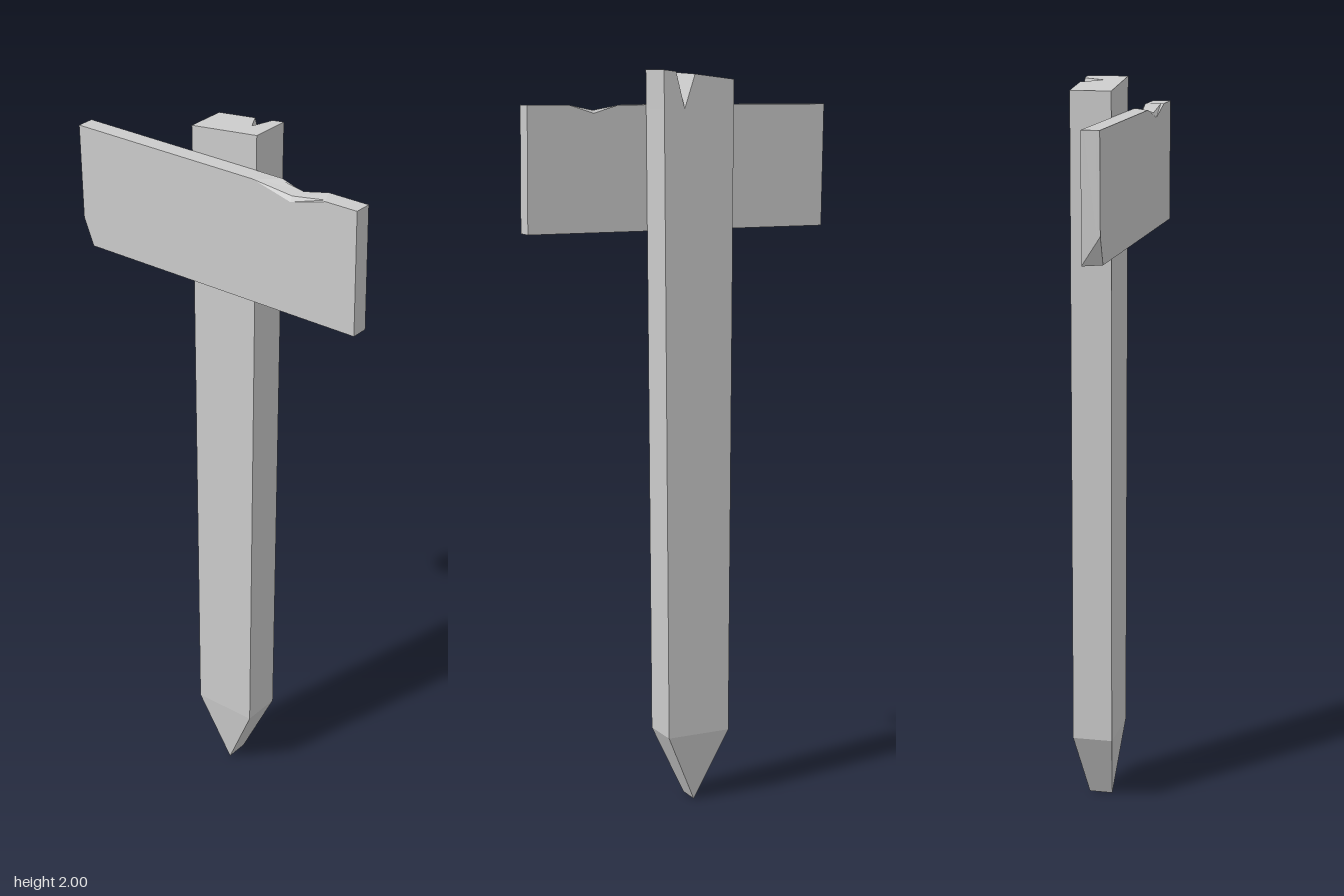
import * as THREE from 'three';

const material = new THREE.MeshStandardMaterial({ color: 0xcccccc, flatShading: true });

// Skins a stack of matching counter-clockwise rings and closes both ends
function loft(name, rings, flatten) {
  const pos = [];
  const tri = (a, b, c) => {
    if (new THREE.Triangle(a, b, c).getArea() > 1e-7) pos.push(...a, ...b, ...c);
  };
  for (let r = 0; r + 1 < rings.length; r++) {
    const lo = rings[r], hi = rings[r + 1];
    lo.forEach((p, i) => {
      const j = (i + 1) % lo.length;
      tri(p, lo[j], hi[j]);
      tri(p, hi[j], hi[i]);
    });
  }
  const cap = (ring, flip) => {
    for (const [a, b, c] of THREE.ShapeUtils.triangulateShape(ring.map(flatten), [])) {
      if (flip) tri(ring[a], ring[c], ring[b]);
      else tri(ring[a], ring[b], ring[c]);
    }
  };
  cap(rings[0], true);
  cap(rings[rings.length - 1], false);
  const geometry = new THREE.BufferGeometry();
  geometry.setAttribute('position', new THREE.Float32BufferAttribute(pos, 3));
  geometry.computeVertexNormals();
  const mesh = new THREE.Mesh(geometry, material);
  mesh.name = name;
  return mesh;
}

// Post section: four corners plus the three points of the split in the back
function postRing(height, left, right, front, back, split) {
  const [x0, xm, x1, zm] = split;
  return [[left, front], [right, front], [right, back], [x1, back], [xm, zm], [x0, back], [left, back]]
    .map(([x, z]) => new THREE.Vector3(x, height(x), z));
}

// Board outline at one depth: dip in the top edge, chip at the lower right-hand corner
function boardRing(z, dip, chip) {
  const [x0, xm, ym, x1] = dip;
  return [
    [0.44, 1.578], [0.437, 1.911], [x1, 1.91], [xm, ym], [x0, 1.909],
    [-0.442, 1.906], [-0.437, 1.573 + 0.075 * chip], [-0.437 + 0.03 * chip, 1.573],
  ].map(([x, y]) => new THREE.Vector3(x, y, z));
}

export function createModel() {
  const group = new THREE.Group();
  group.name = 'signpost';

  // Post: wedge tip, long shaft, slanted top with a V split
  const closed = [0.04, 0.04, 0.04, -0.08];
  group.add(loft('post', [
    postRing(() => 0, 0, 0, 0.01, -0.055, [0, 0, 0, -0.055]),
    postRing(() => 0.195, -0.095, 0.088, 0.03, -0.08, closed),
    postRing(() => 1.9, -0.104, 0.099, 0.03, -0.08, closed),
    postRing((x) => 1.988 + 0.122 * x, -0.105, 0.1, 0.03, -0.08, [0.01, 0.042, 0.065, -0.025]),
  ], (p) => new THREE.Vector2(p.x, -p.z)));

  // Board: plank with a worn dip on top and a chipped front corner
  group.add(loft('board', [
    boardRing(0.03, [0.18, 0.25, 1.888, 0.32], 0),
    boardRing(0.037, [0.175, 0.25, 1.896, 0.323], 0.15),
    boardRing(0.07, [0.133, 0.24, 1.893, 0.34], 0.83),
    boardRing(0.078, [0.125, 0.24, 1.88, 0.345], 1),
  ], (p) => new THREE.Vector2(p.x, p.y)));

  return group;
}
